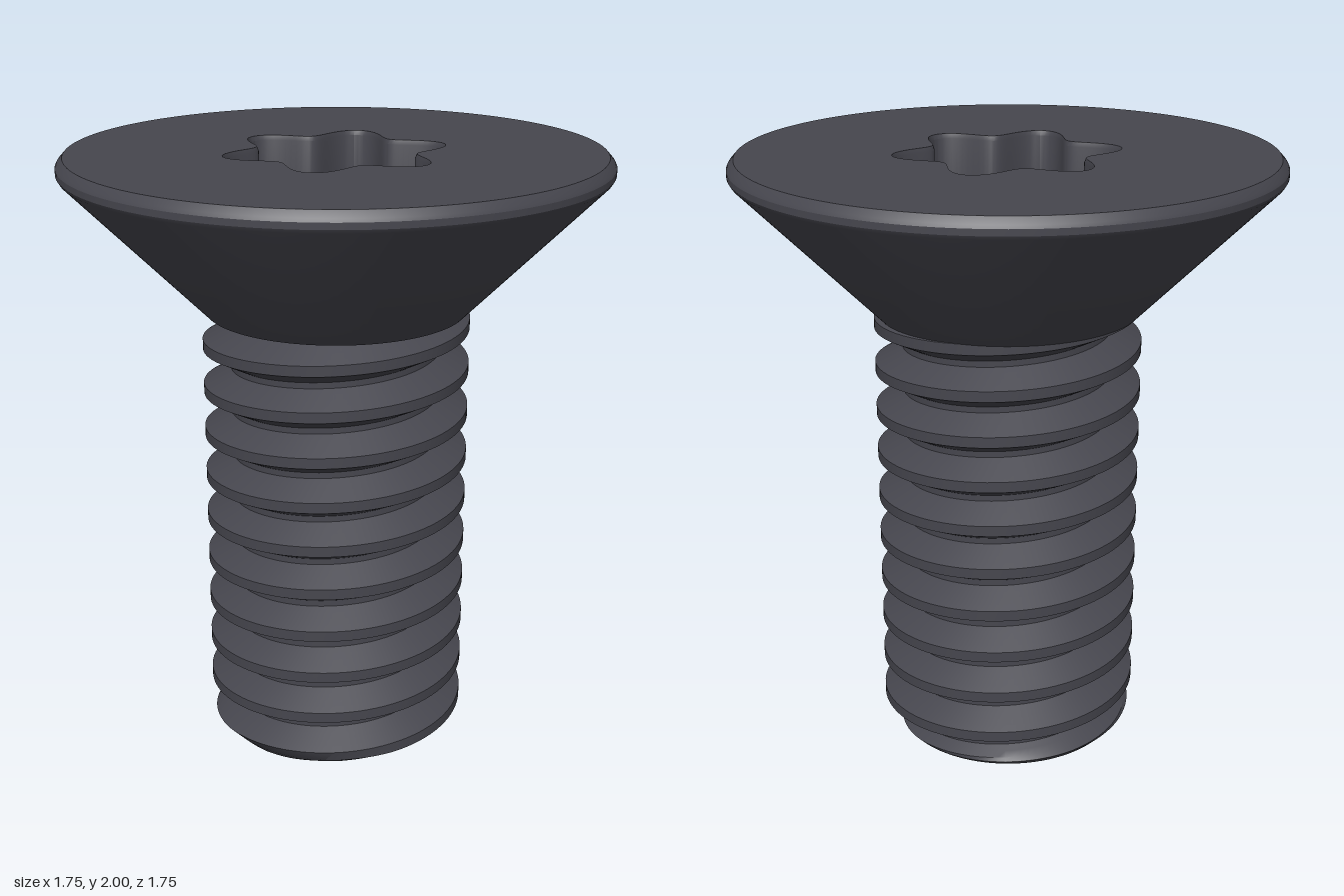
import * as THREE from 'three';
import { toCreasedNormals } from 'three/addons/utils/BufferGeometryUtils.js';

const darkSteel = new THREE.MeshStandardMaterial({ color: 0x46464e });
darkSteel.name = 'darkSteel';

// Sweep a profile of [radius, y] points, which may vary with the angle, around the y axis
function sweep(name, segments, profileAt) {
  const columns = [];
  for (let i = 0; i <= segments; i++) {
    const a = (i / segments) * Math.PI * 2;
    columns.push(profileAt(a).map(([r, y]) => new THREE.Vector3(r * Math.sin(a), y, r * Math.cos(a))));
  }
  const positions = [];
  const triangle = (a, b, c) => {
    const area = b.clone().sub(a).cross(c.clone().sub(a)).length();
    if (area > 1e-9) for (const p of [a, b, c]) positions.push(p.x, p.y, p.z);
  };
  for (let i = 0; i < segments; i++) {
    for (let j = 0; j < columns[i].length - 1; j++) {
      const a = columns[i][j], b = columns[i + 1][j];
      const c = columns[i + 1][j + 1], d = columns[i][j + 1];
      triangle(a, b, c);
      triangle(a, c, d);
    }
  }
  const geometry = new THREE.BufferGeometry();
  geometry.setAttribute('position', new THREE.Float32BufferAttribute(positions, 3));
  const mesh = new THREE.Mesh(toCreasedNormals(geometry, 0.45), darkSteel);
  mesh.name = name;
  return mesh;
}

// Six-lobed star outline of the drive socket
const star = (a, grow = 0) => 0.306 + grow - 0.054 * Math.cos(6 * a);

// Helical thread: flat crest, sloping flanks, flat root, chamfered tip
const PITCH = 0.15, PHASE = 0.045, CREST = 0.0175, FLANK = 0.0475;
const ROOT_R = 0.345, CREST_R = 0.436, SHANK_TOP = 1.5;

function threadRadius(a, y) {
  const turns = (y - PHASE) / PITCH - a / (2 * Math.PI);
  const distance = Math.abs(turns - Math.round(turns)) * PITCH;
  const t = THREE.MathUtils.clamp((distance - CREST) / FLANK, 0, 1);
  return Math.min(THREE.MathUtils.lerp(CREST_R, ROOT_R, t), 0.38 + y);
}

function threadProfile(a) {
  const points = [[0, 0]];
  const steps = [1, 0.75, 0.5, 0.25, 0].map((t) => CREST + FLANK * t);
  const offsets = [...steps.map((s) => -s), ...steps.slice().reverse()];
  for (let k = -1; k <= 11; k++) {
    for (const offset of offsets) {
      const raw = PHASE + PITCH * (k + a / (2 * Math.PI)) + offset;
      const y = THREE.MathUtils.clamp(raw, 0, SHANK_TOP);
      points.push([threadRadius(a, y), y]);
    }
  }
  return points;
}

export function createModel() {
  const group = new THREE.Group();
  group.name = 'countersunkScrew';

  // Countersunk cone with a narrow bevelled rim
  group.add(sweep('head', 144, () => [
    [0.33, 1.465], [0.425, 1.49], [0.868, 1.938], [0.875, 1.95], [0.875, 1.97], [0.87, 1.98], [0.852, 2],
  ]));

  // Flat top face with a star-shaped opening
  group.add(sweep('topFace', 144, (a) => [[0.852, 2], [star(a, 0.006), 2]]));

  // Socket: small edge bevel, straight walls and flat floor
  group.add(sweep('driveSocket', 144, (a) => [
    [star(a, 0.006), 2], [star(a), 1.985], [star(a), 1.7], [0, 1.7],
  ]));

  // Threaded shank, including its flat end
  group.add(sweep('threadedShank', 96, threadProfile));

  return group;
}
